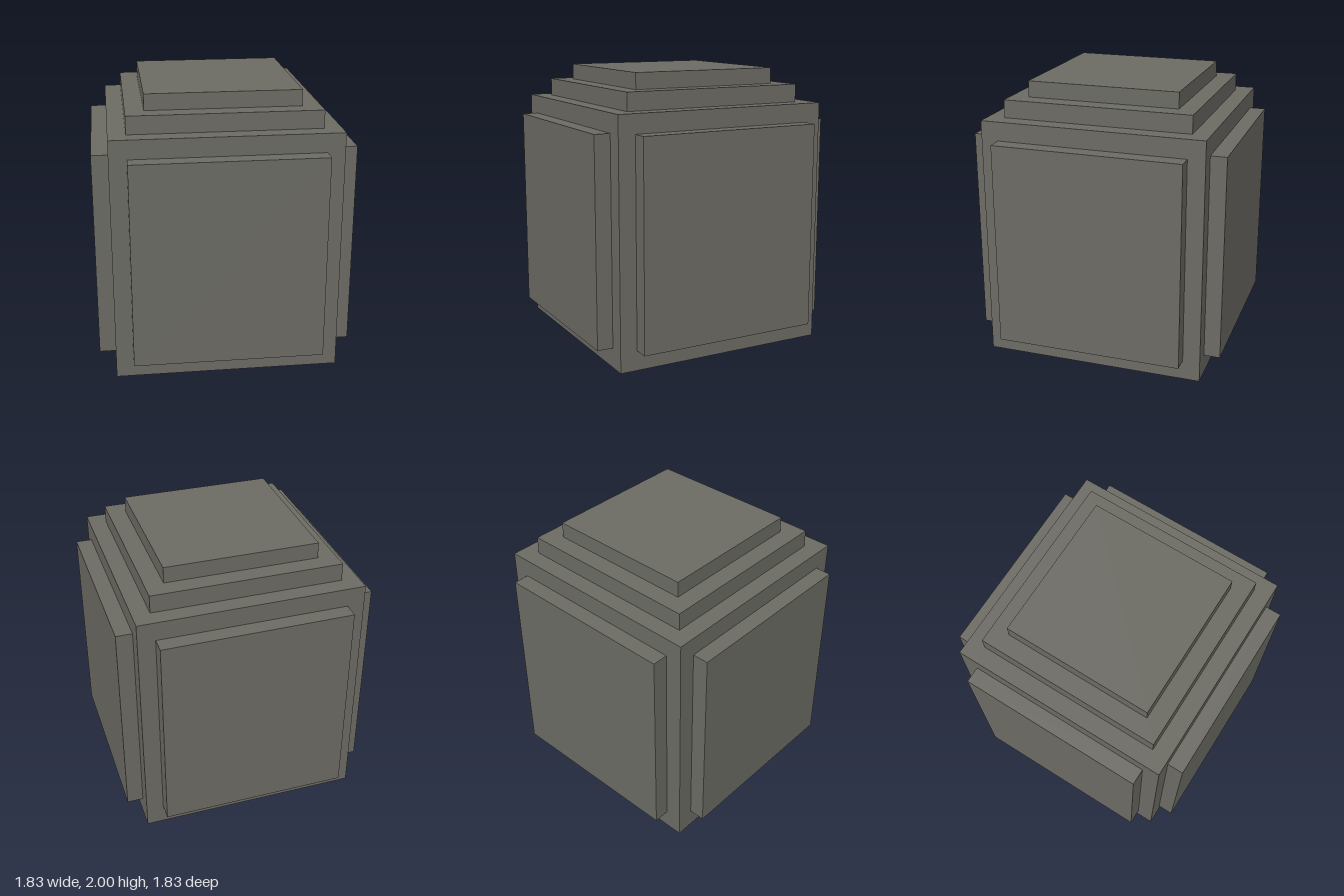
import * as THREE from 'three';

export function createModel() {
  const model = new THREE.Group();
  model.name = 'steppedBlock';
  const stone = new THREE.MeshStandardMaterial({ color: 0x6b6a63 });
  stone.name = 'dark stone grey';

  // Box given by its width, depth and vertical extent
  const block = (name, width, depth, y0, y1) => {
    const geometry = new THREE.BoxGeometry(width, y1 - y0, depth);
    geometry.translate(0, (y0 + y1) / 2, 0);
    const mesh = new THREE.Mesh(geometry, stone);
    mesh.name = name;
    return mesh;
  };

  // Main body and the two steps on its top
  model.add(
    block('body', 1.596, 1.596, 0, 1.757),
    block('lowerStep', 1.35, 1.35, 1.757, 1.885),
    block('upperStep', 1.09, 1.09, 1.885, 2),
  );

  // One raised panel on each side
  const inner = 0.798, outer = 0.913;
  ['front', 'left', 'back', 'right'].forEach((side, i) => {
    const panel = block(side + 'Panel', 1.35, outer - inner, 0.142, 1.622);
    panel.geometry.translate(0, 0, (inner + outer) / 2);
    panel.rotation.y = (i * Math.PI) / 2;
    model.add(panel);
  });

  return model;
}
